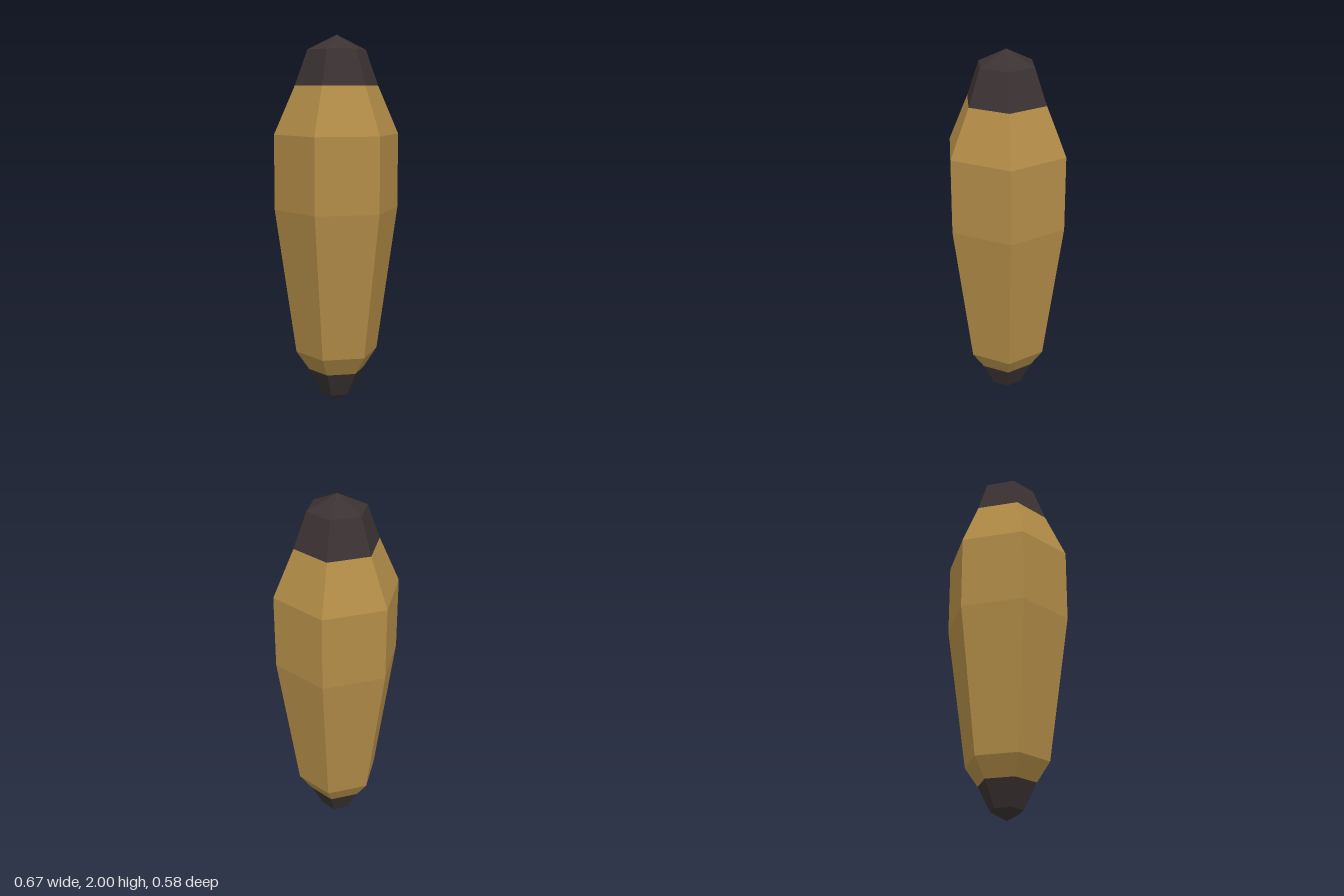
import * as THREE from 'three';

export function createModel() {
  const model = new THREE.Group();
  model.name = 'hexagonalCapsule';

  const gold = new THREE.MeshStandardMaterial({ name: 'gold', color: 0xb28c47, flatShading: true });
  const charcoal = new THREE.MeshStandardMaterial({ name: 'charcoal', color: 0x3b3233, flatShading: true });

  // Six-sided band from a profile of [radius, height], listed bottom to top
  function addBand(name, profile, material) {
    const points = profile.map(([r, y]) => new THREE.Vector2(r, y));
    // Corners point along x, flat sides face front and back
    const geometry = new THREE.LatheGeometry(points, 6, Math.PI / 6);
    const mesh = new THREE.Mesh(geometry, material);
    mesh.name = name;
    model.add(mesh);
  }

  // Dark blunt tip at the foot
  addBand('bottomTip', [[0, 0.005], [0.087, 0.055], [0.155, 0.19]], charcoal);
  // Long tapering body with a straight waist and sloping shoulder
  addBand('body', [[0.155, 0.19], [0.225, 0.293], [0.337, 1.08], [0.337, 1.48], [0.225, 1.735]], gold);
  // Dark cap ending in a shallow point
  addBand('topCap', [[0.225, 1.735], [0.157, 1.923], [0, 2]], charcoal);

  return model;
}
